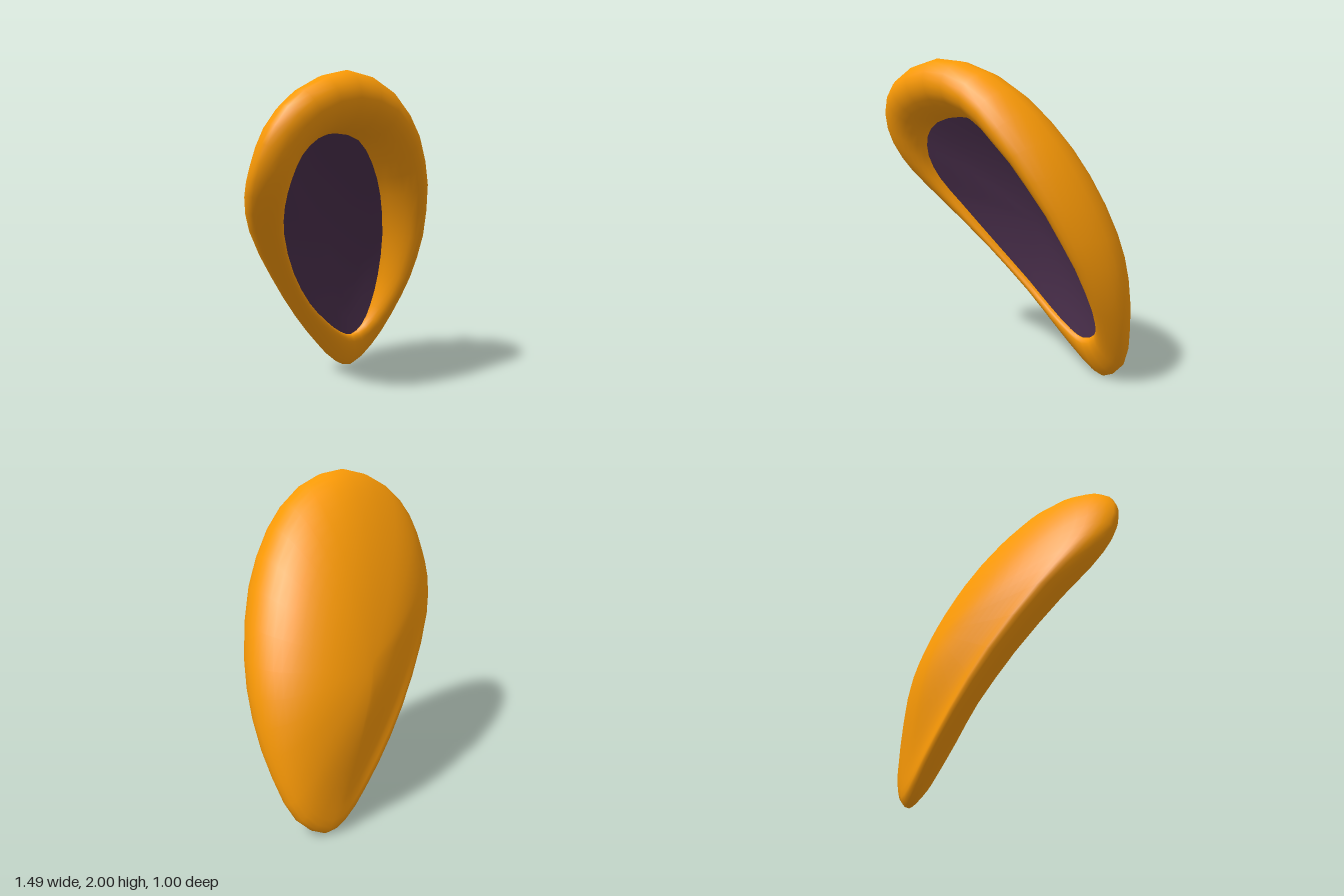
import * as THREE from 'three';
import { mergeVertices } from 'three/addons/utils/BufferGeometryUtils.js';

const SEGMENTS = 36;
const CENTRE = new THREE.Vector2(0.08, 0.99);

// Clockwise stations: outline x, y, height; inner edge x, y, height; rim bulge
const STATIONS = [
  [-0.2, 2.0, -0.03, -0.17, 1.66, -0.07, 0.19],
  [0.14, 1.92, -0.02, 0.06, 1.62, -0.08, 0.24],
  [0.4, 1.7, -0.01, 0.23, 1.48, -0.08, 0.28],
  [0.6, 1.38, 0, 0.38, 1.27, -0.08, 0.28],
  [0.72, 1.0, 0, 0.5, 0.98, -0.08, 0.25],
  [0.745, 0.68, 0, 0.55, 0.68, -0.08, 0.19],
  [0.7, 0.36, -0.02, 0.53, 0.46, -0.07, 0.12],
  [0.61, 0.12, -0.05, 0.47, 0.32, -0.06, 0.07],
  [0.45, 0.0, -0.07, 0.37, 0.265, -0.06, 0.05],
  [0.33, 0.04, -0.11, 0.27, 0.3, -0.08, 0.05],
  [0.16, 0.2, -0.17, 0.12, 0.41, -0.12, 0.06],
  [-0.07, 0.45, -0.22, -0.05, 0.57, -0.16, 0.06],
  [-0.33, 0.76, -0.23, -0.25, 0.81, -0.16, 0.07],
  [-0.6, 1.1, -0.18, -0.42, 1.08, -0.12, 0.09],
  [-0.72, 1.32, -0.1, -0.49, 1.25, -0.07, 0.1],
  [-0.745, 1.5, -0.04, -0.5, 1.4, -0.04, 0.11],
  [-0.7, 1.7, -0.02, -0.46, 1.53, -0.04, 0.13],
  [-0.54, 1.88, -0.02, -0.36, 1.62, -0.05, 0.16],
];

// Smooth closed loop through three columns of the stations
function loop(column) {
  const curve = new THREE.CatmullRomCurve3(
    STATIONS.map((s) => new THREE.Vector3(s[column], s[column + 1], s[column + 2])), true);
  return Array.from({ length: SEGMENTS }, (_, i) => curve.getPoint(i / SEGMENTS));
}

// Rim bulge at a segment, blended between neighbouring stations
function bulgeAt(j) {
  const t = (j / SEGMENTS) * STATIONS.length, i = Math.floor(t);
  return THREE.MathUtils.lerp(STATIONS[i][6], STATIONS[(i + 1) % STATIONS.length][6], t - i);
}

// The whole form leans: heights are measured along z from this slanted plane
const place = (x, y, h) => new THREE.Vector3(x, y, -0.29 - 0.197 * x + 0.316 * y + h);

// Skin a list of closed rings with smooth normals
function loft(rings) {
  const index = [];
  for (let i = 0; i < rings.length - 1; i++) {
    for (let j = 0; j < SEGMENTS; j++) {
      const k = (j + 1) % SEGMENTS;
      const a = i * SEGMENTS + j, b = a + SEGMENTS;
      const d = i * SEGMENTS + k, c = d + SEGMENTS;
      index.push(a, b, c, a, c, d);
    }
  }
  const raw = new THREE.BufferGeometry().setFromPoints(rings.flat());
  raw.setIndex(index);
  const geometry = mergeVertices(raw, 1e-5);
  geometry.computeVertexNormals();
  return geometry;
}

function part(name, rings, color) {
  const mesh = new THREE.Mesh(loft(rings), new THREE.MeshStandardMaterial({ color }));
  mesh.name = name;
  return mesh;
}

export function createModel() {
  const outer = loop(0), inner = loop(3);
  const shell = [], lining = [];

  // Domed back, from its pole out to the outline
  for (let i = 0; i <= 14; i++) {
    const a = (i / 14) * Math.PI / 2, r = Math.sin(a);
    shell.push(outer.map((p) => {
      const x = THREE.MathUtils.lerp(CENTRE.x, p.x, r);
      const y = THREE.MathUtils.lerp(CENTRE.y, p.y, r);
      const depth = 0.43 * (0.72 + 0.28 * THREE.MathUtils.smoothstep(y, 0, 0.9));
      return place(x, y, p.z * r ** 6 - depth * Math.cos(a));
    }));
  }

  // Rounded rim rolling over into the hollow
  for (let i = 1; i <= 12; i++) {
    const a = (i / 12) * Math.PI;
    const s = ((1 - Math.cos(a)) / 2) ** 0.8;
    shell.push(outer.map((p, j) => {
      const v = p.clone().lerp(inner[j], s);
      return place(v.x, v.y, v.z + bulgeAt(j) * Math.sin(a));
    }));
  }

  // Concave lining
  for (let i = 0; i <= 6; i++) {
    const f = 1 - i / 6;
    lining.push(inner.map((q) => place(
      THREE.MathUtils.lerp(CENTRE.x, q.x, f),
      THREE.MathUtils.lerp(CENTRE.y, q.y, f),
      THREE.MathUtils.lerp(-0.21, q.z, f * f))));
  }

  const model = new THREE.Group();
  model.name = 'ear';
  model.add(part('outerEar', shell, 0xfb9a06), part('innerEar', lining, 0x4a2f4c));

  // Stand on the ground, centred
  const box = new THREE.Box3().setFromObject(model);
  const mid = box.getCenter(new THREE.Vector3());
  model.children.forEach((m) => m.geometry.translate(-mid.x, -box.min.y, -mid.z));
  return model;
}
